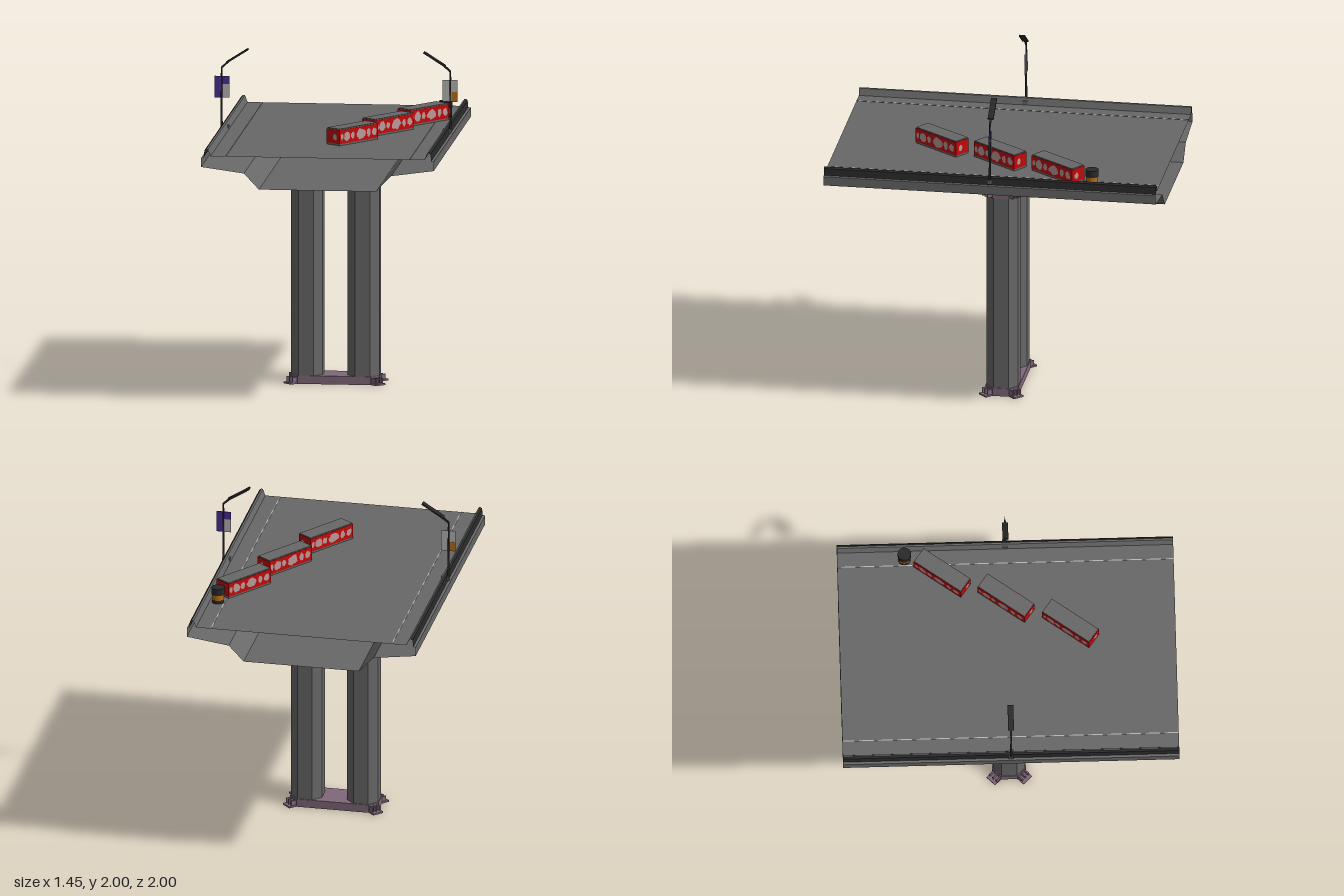
import * as THREE from 'three';

const mat = (name, color) => {
  const m = new THREE.MeshStandardMaterial({ color, side: THREE.DoubleSide });
  m.name = name;
  return m;
};

export function createModel() {
  const concrete = mat('concrete', 0x686868);
  const mauve = mat('mauve steel', 0x80687a);
  const dark = mat('dark metal', 0x2a2a2a);
  const red = mat('red paint', 0xc20a0a);
  const pink = mat('faded patch', 0xb99a9a);
  const purple = mat('purple cloth', 0x4a2f9a);
  const pale = mat('pale grey', 0xb8b8b8);
  const orange = mat('orange', 0xb8701c);

  const model = new THREE.Group();
  model.name = 'bridgeSection';

  const add = (parent, name, geo, material, x = 0, y = 0, z = 0) => {
    const m = new THREE.Mesh(geo, material);
    m.name = name;
    m.position.set(x, y, z);
    parent.add(m);
    return m;
  };
  const group = (parent, name, x = 0, y = 0, z = 0) => {
    const g = new THREE.Group();
    g.name = name;
    g.position.set(x, y, z);
    parent.add(g);
    return g;
  };
  const box = (w, h, d) => new THREE.BoxGeometry(w, h, d);

  // Open sheet: an xy profile drawn out along z
  const sheet = (pts, len = 2) => {
    const v = [];
    const h = len / 2;
    for (let i = 0; i + 1 < pts.length; i++) {
      const [[ax, ay], [bx, by]] = [pts[i], pts[i + 1]];
      v.push(ax, ay, h, bx, by, h, bx, by, -h, ax, ay, h, bx, by, -h, ax, ay, -h);
    }
    const g = new THREE.BufferGeometry();
    g.setAttribute('position', new THREE.Float32BufferAttribute(v, 3));
    g.computeVertexNormals();
    return g;
  };

  // Upright prism on a rectangle with cut corners
  const prism = (hx, hz, cut, height) => {
    const s = new THREE.Shape([
      [hx - cut, -hz], [hx, cut - hz], [hx, hz - cut], [hx - cut, hz],
      [cut - hx, hz], [-hx, hz - cut], [-hx, cut - hz], [cut - hx, -hz],
    ].map(([x, y]) => new THREE.Vector2(x, y)));
    return new THREE.ExtrudeGeometry(s, { depth: height, bevelEnabled: false }).rotateX(-Math.PI / 2);
  };

  // Hollow deck, open at both ends
  const deck = group(model, 'deck');
  add(deck, 'roadSurface', sheet([[-0.64, 1.51], [0.64, 1.51]]), concrete);
  add(deck, 'underside', sheet([
    [-0.695, 1.445], [-0.44, 1.41], [-0.35, 1.315], [0.35, 1.315], [0.44, 1.41], [0.695, 1.445],
  ]), concrete);
  for (const s of [1, -1]) {
    const side = (pts) => sheet(pts.map(([x, y]) => [x * s, y]));
    add(deck, 'parapetInner', side([[0.64, 1.51], [0.655, 1.55], [0.665, 1.553]]), concrete);
    add(deck, 'guardRail', side([[0.665, 1.553], [0.676, 1.545], [0.68, 1.503]]), dark);
    add(deck, 'deckEdge', side([[0.68, 1.503], [0.695, 1.5], [0.695, 1.445]]), concrete);
    add(deck, 'laneLine', box(0.005, 0.002, 2), pale, 0.55 * s, 1.511, 0);
  }

  // Twin columns with collars at foot and head
  const pier = group(model, 'pier');
  for (const s of [1, -1]) add(pier, 'column', prism(0.095, 0.095, 0.05, 1.3), concrete, 0.17 * s, 0.003, 0);
  const collar = (name, y, flip) => {
    const g = group(pier, name, 0, y, 0);
    g.scale.y = flip;
    add(g, 'collarBand', prism(0.268, 0.1, 0.05, 0.05), mauve);
    for (const sx of [1, -1]) for (const sz of [1, -1]) {
      const c = group(g, 'cornerBracket', 0.255 * sx, 0, 0.085 * sz);
      c.rotation.y = Math.atan2(sx, sz);
      add(c, 'bracketPlate', box(0.07, 0.01, 0.07), mauve, 0, 0.005, 0);
      for (const x of [-0.026, 0, 0.026]) add(c, 'bracketRib', box(0.008, 0.032, 0.045), mauve, x, 0.025, -0.005);
    }
  };
  collar('footCollar', 0, 1);
  collar('headCollar', 1.306, -1);
  add(pier, 'bearingPlate', prism(0.32, 0.15, 0.07, 0.012), mauve, 0, 1.302, 0);

  // Irregular flat patch for the worn paint
  let seed = 7;
  const rnd = () => (seed = (seed * 16807) % 2147483647) / 2147483647;
  const patch = (rx, ry) => {
    const pts = [];
    for (let i = 0; i < 14; i++) {
      const a = (i / 14) * Math.PI * 2;
      const r = 0.7 + 0.3 * rnd();
      pts.push(new THREE.Vector2(Math.cos(a) * rx * r, Math.sin(a) * ry * r));
    }
    return new THREE.ShapeGeometry(new THREE.Shape(pts));
  };

  // Three barrier blocks lying diagonally across the road
  const spots = [[-0.135, 0.024, 0.026], [-0.085, 0.019, 0.03], [-0.015, 0.046, 0.036],
    [0.055, 0.02, 0.024], [0.105, 0.032, 0.032], [0.15, 0.013, 0.022]];
  for (const [x, z] of [[0.14, 0.375], [0.31, -0.003], [0.48, -0.378]]) {
    const b = group(model, 'barrierBlock', x, 1.51, z);
    b.rotation.y = -0.63;
    add(b, 'blockBase', box(0.102, 0.01, 0.338), concrete, 0, 0.006, 0);
    add(b, 'blockBody', box(0.104, 0.084, 0.34), red, 0, 0.053, 0);
    add(b, 'blockTop', box(0.098, 0.007, 0.334), concrete, 0, 0.098, 0);
    for (const s of [1, -1]) {
      for (const [p, rx, ry] of spots) {
        add(b, 'wornPatch', patch(rx, ry), pink, 0.0535 * s, 0.053, p * s).rotation.y = s * Math.PI / 2;
      }
      add(b, 'wornPatchEnd', patch(0.018, 0.022), pink, 0.015, 0.05, 0.1715 * s).rotation.y = s > 0 ? 0 : Math.PI;
    }
  }

  // Drum beside the parapet
  const drum = group(model, 'drum', 0.59, 1.51, -0.6);
  for (const [r, y, h, m] of [[0.037, 0, 0.02, dark], [0.036, 0.02, 0.034, orange], [0.04, 0.054, 0.041, dark]]) {
    add(drum, 'drumBand', new THREE.CylinderGeometry(r, r, h, 20), m, 0, y + h / 2, 0);
  }

  // Street lamps with two-faced banners, one turned half round from the other
  for (const turn of [0, Math.PI]) {
    const lamp = group(model, 'streetLamp');
    lamp.rotation.y = turn;
    add(lamp, 'lampFoot', box(0.05, 0.025, 0.03), concrete, 0.665, 1.522, 0);
    add(lamp, 'lampPole', new THREE.CylinderGeometry(0.005, 0.007, 0.37, 8), dark, 0.684, 1.7, 0);
    const bar = (name, x0, y0, x1, y1, t, w) => {
      const m = add(lamp, name, box(Math.hypot(x1 - x0, y1 - y0), t, w), dark, (x0 + x1) / 2, (y0 + y1) / 2, 0);
      m.rotation.z = Math.atan2(y1 - y0, x1 - x0);
    };
    bar('lampArm', 0.685, 1.88, 0.63, 1.93, 0.011, 0.011);
    bar('lampHead', 0.655, 1.912, 0.525, 1.995, 0.01, 0.035);
    const panel = (name, x0, x1, y0, y1, z, m) =>
      add(lamp, name, box(x1 - x0, y1 - y0, 0.002), m, (x0 + x1) / 2, (y0 + y1) / 2, z);
    panel('bannerFront', 0.637, 0.727, 1.7, 1.83, 0.001, pale);
    panel('bannerFrontMark', 0.69, 0.727, 1.7, 1.758, 0.003, orange);
    panel('bannerBackOuter', 0.682, 0.727, 1.7, 1.83, -0.001, purple);
    panel('bannerBackInner', 0.637, 0.682, 1.782, 1.83, -0.001, purple);
    panel('bannerBackMark', 0.637, 0.682, 1.7, 1.782, -0.001, pale);
  }

  return model;
}
